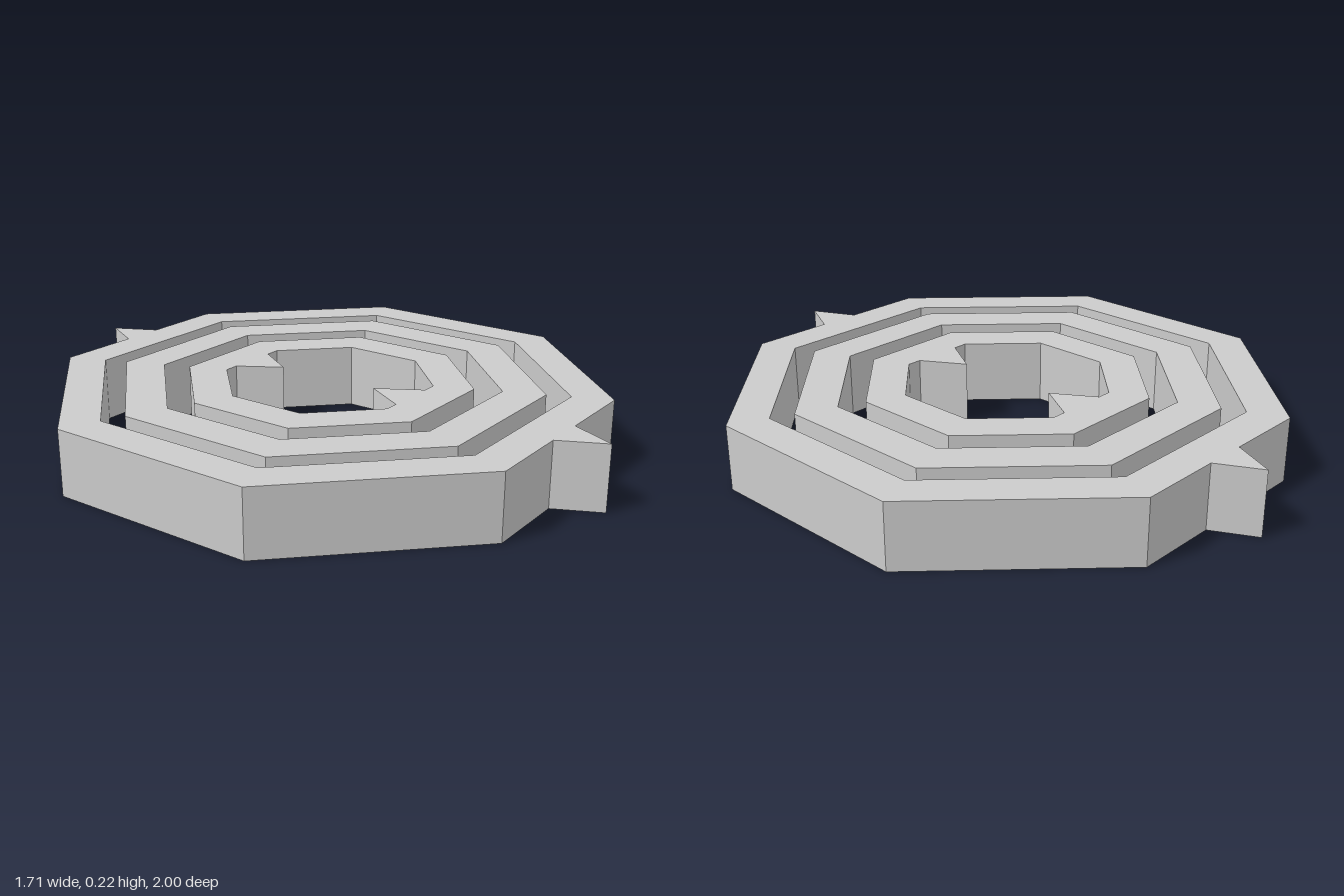
import * as THREE from 'three';

const HEIGHT = 0.215;
const CENTRE_Z = -0.003;

// Octagon with flat sides; an optional spike { half, back, front } reshapes the back and front edges.
function octagon(apothem, spike) {
  const h = apothem * Math.tan(Math.PI / 8);
  const points = [];
  for (const s of [1, -1]) {
    points.push([s * apothem, -s * h], [s * apothem, s * h], [s * h, s * apothem]);
    if (spike) {
      const tip = s > 0 ? spike.back : spike.front;
      points.push([s * spike.half, s * apothem], [0, s * tip], [-s * spike.half, s * apothem]);
    }
    points.push([-s * h, s * apothem]);
  }
  return points.map(([x, y]) => new THREE.Vector2(x, y));
}

// Upright-walled ring lying flat on the ground
function ring(name, outer, inner, material) {
  const shape = new THREE.Shape(outer);
  shape.holes.push(new THREE.Path(inner));
  const geometry = new THREE.ExtrudeGeometry(shape, { depth: HEIGHT, bevelEnabled: false });
  geometry.rotateX(-Math.PI / 2);
  geometry.translate(0, 0, CENTRE_Z);
  const mesh = new THREE.Mesh(geometry, material);
  mesh.name = name;
  return mesh;
}

export function createModel() {
  const group = new THREE.Group();
  group.name = 'octagonalRings';
  const material = new THREE.MeshStandardMaterial({ color: 0xcccccc, flatShading: true });

  group.add(
    // Outer ring with spikes pointing outwards
    ring('outerRing', octagon(0.855, { half: 0.072, back: 0.997, front: 1.003 }), octagon(0.732), material),
    // Plain middle ring
    ring('middleRing', octagon(0.66), octagon(0.532), material),
    // Inner ring with spikes pointing into the hole
    ring('innerRing', octagon(0.448), octagon(0.325, { half: 0.085, back: 0.187, front: 0.182 }), material)
  );
  return group;
}
